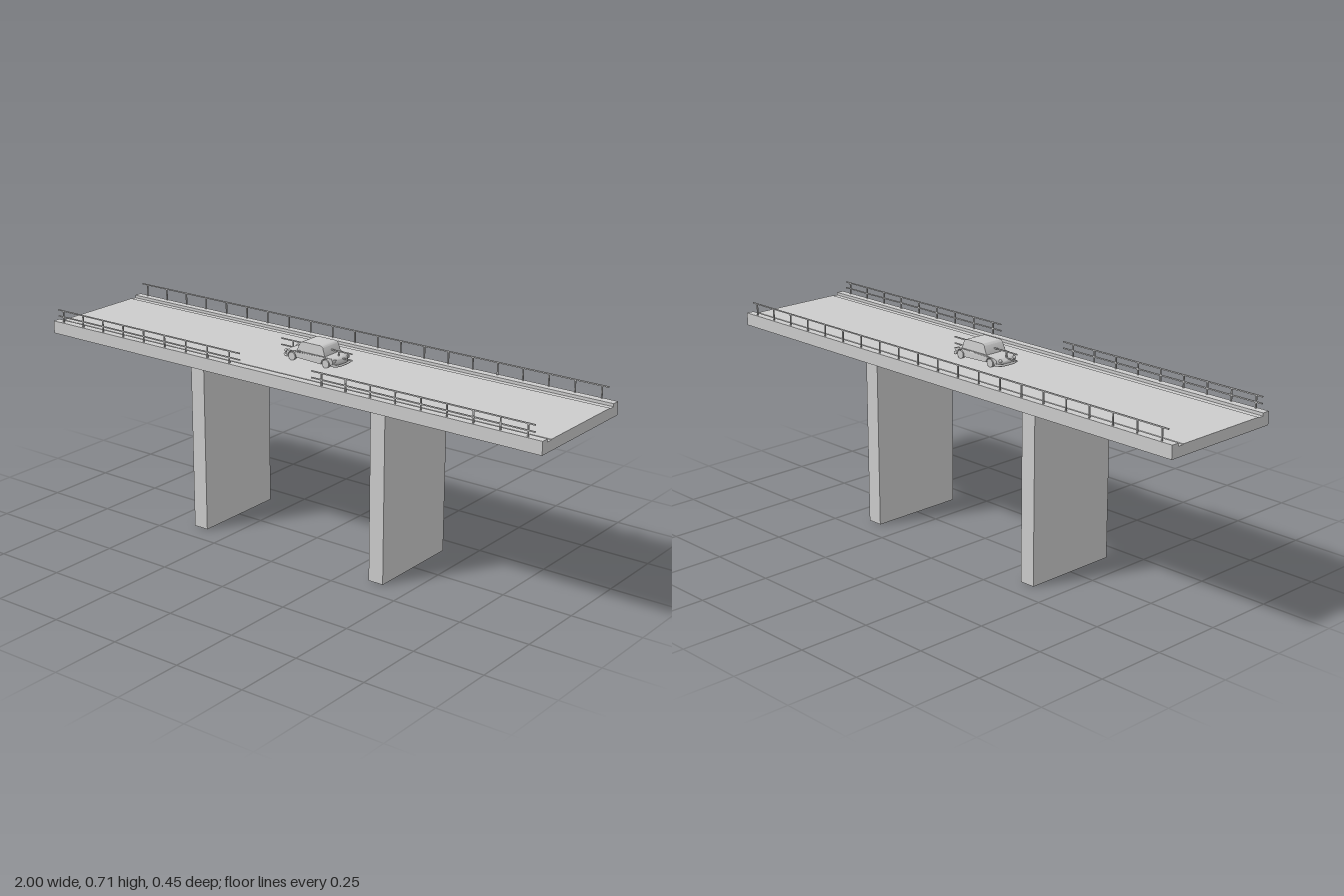
import * as THREE from 'three';
import { toCreasedNormals } from 'three/addons/utils/BufferGeometryUtils.js';

const concrete = new THREE.MeshStandardMaterial({ color: 0xcccccc });
concrete.name = 'light grey';

function add(parent, name, geometry, x = 0, y = 0, z = 0) {
  const mesh = new THREE.Mesh(geometry, concrete);
  mesh.name = name;
  mesh.position.set(x, y, z);
  parent.add(mesh);
  return mesh;
}

function box(parent, name, x0, x1, y0, y1, z0, z1) {
  return add(parent, name, new THREE.BoxGeometry(x1 - x0, y1 - y0, z1 - z0),
    (x0 + x1) / 2, (y0 + y1) / 2, (z0 + z1) / 2);
}

// One run of railing: horizontal rails and the posts that fall within it
function railing(parent, name, x0, x1, z, railHeights, base) {
  const group = new THREE.Group();
  group.name = name;
  for (const y of railHeights) box(group, 'rail', x0, x1, y - 0.004, y, z - 0.002, z + 0.002);
  for (let i = 0; i < 21; i++) {
    const x = -0.956 + i * 0.0951;
    if (x > x0 && x < x1) box(group, 'post', x - 0.002, x + 0.002, base, 0.688, z - 0.002, z + 0.002);
  }
  parent.add(group);
}

// Small car, bonnet towards -x
function createCar() {
  const car = new THREE.Group();
  car.name = 'car';

  // Lower body: side profile with wheel arches
  const side = new THREE.Shape();
  side.moveTo(-0.112, 0.009);
  side.lineTo(-0.088, 0.009);
  side.absarc(-0.07, 0.013, 0.018, Math.PI, 0, true);
  side.lineTo(0.052, 0.009);
  side.absarc(0.07, 0.013, 0.018, Math.PI, 0, true);
  side.lineTo(0.108, 0.009);
  side.quadraticCurveTo(0.116, 0.028, 0.098, 0.034);
  side.lineTo(0.06, 0.037);
  side.lineTo(-0.04, 0.037);
  side.lineTo(-0.09, 0.032);
  side.quadraticCurveTo(-0.12, 0.028, -0.112, 0.009);
  const body = new THREE.ExtrudeGeometry(side, { depth: 0.092, bevelEnabled: false, curveSegments: 8, steps: 8 });
  body.translate(0, 0, -0.046);
  // Round the nose and tail in plan
  const p = body.attributes.position;
  for (let i = 0; i < p.count; i++) {
    const x = p.getX(i), t = Math.max(0, (Math.abs(x) - 0.085) / 0.035);
    p.setX(i, x - Math.sign(x) * t * 0.02 * (p.getZ(i) / 0.046) ** 2);
    p.setZ(i, p.getZ(i) * (1 - 0.12 * t));
  }
  add(car, 'body', toCreasedNormals(body, 0.6));

  // Cabin narrowing towards the roof
  const cab = new THREE.Shape();
  cab.moveTo(-0.052, 0.034);
  cab.lineTo(0.066, 0.034);
  cab.lineTo(0.056, 0.064);
  cab.quadraticCurveTo(0.052, 0.069, 0.043, 0.07);
  cab.lineTo(-0.028, 0.07);
  cab.quadraticCurveTo(-0.036, 0.069, -0.039, 0.064);
  cab.closePath();
  const cabin = new THREE.ExtrudeGeometry(cab, { depth: 0.088, bevelEnabled: false, curveSegments: 5 });
  cabin.translate(0, 0, -0.044);
  const q = cabin.attributes.position;
  for (let i = 0; i < q.count; i++) q.setZ(i, q.getZ(i) * (1 - (q.getY(i) - 0.034) * 1.8));
  add(car, 'cabin', toCreasedNormals(cabin, 0.6));

  for (const s of [1, -1]) {
    // Side windows lie against the sloping cabin wall
    for (const [x0, x1] of [[-0.036, 0.002], [0.008, 0.05]]) {
      const pane = box(car, 'sideWindow', x0, x1, 0.04, 0.062, s * 0.0415 - 0.001, s * 0.0415 + 0.001);
      pane.rotation.x = -s * 0.08;
    }
    // Wheels and headlights
    for (const x of [-0.07, 0.07]) {
      const wheel = new THREE.CylinderGeometry(0.014, 0.014, 0.012, 20);
      wheel.rotateX(Math.PI / 2);
      add(car, 'wheel', wheel, x, 0.014, s * 0.041);
    }
    const lamp = new THREE.SphereGeometry(0.006, 12, 8);
    add(car, 'headlight', lamp, -0.105, 0.025, s * 0.032);
    box(car, 'tailLight', 0.097, 0.104, 0.022, 0.03, s * 0.036 - 0.004, s * 0.036 + 0.004);
  }

  // Curved bumpers at both ends
  for (const s of [1, -1]) {
    const curve = new THREE.CatmullRomCurve3([
      new THREE.Vector3(s * 0.09, 0.011, -0.044), new THREE.Vector3(s * 0.109, 0.011, -0.034),
      new THREE.Vector3(s * 0.114, 0.011, 0), new THREE.Vector3(s * 0.109, 0.011, 0.034),
      new THREE.Vector3(s * 0.09, 0.011, 0.044)]);
    add(car, 'bumper', new THREE.TubeGeometry(curve, 20, 0.004, 8));
  }

  // Driver's mirror
  box(car, 'mirrorArm', -0.037, -0.034, 0.034, 0.037, 0.038, 0.05);
  box(car, 'mirror', -0.039, -0.034, 0.034, 0.04, 0.045, 0.053);

  car.position.y = 0.637;
  return car;
}

export function createModel() {
  const model = new THREE.Group();
  model.name = 'roadBridge';

  // Deck cross-section with raised kerbs and roadway, swept along x
  const half = [[0.174, 0.637], [0.175, 0.635], [0.196, 0.635], [0.196, 0.645], [0.224, 0.645], [0.224, 0.6]];
  const points = [...half, ...half.map(([z, y]) => [-z, y]).reverse()];
  const section = new THREE.Shape(points.map(([z, y]) => new THREE.Vector2(z, y)));
  const deck = new THREE.ExtrudeGeometry(section, { depth: 2, bevelEnabled: false });
  deck.translate(0, 0, -1);
  deck.rotateY(Math.PI / 2);
  add(model, 'deck', deck);

  // Wall piers
  for (const x of [-0.374, 0.374]) box(model, 'pier', x - 0.028, x + 0.028, 0, 0.6, -0.174, 0.174);

  // Railings: back run, two front runs, and a short run in the middle of the road
  railing(model, 'backRailing', -0.98, 0.97, -0.217, [0.689], 0.645);
  railing(model, 'frontRailing', -0.98, -0.15, 0.217, [0.689, 0.667], 0.645);
  railing(model, 'frontRailing', 0.145, 0.97, 0.217, [0.689, 0.667], 0.645);
  railing(model, 'middleRailing', -0.15, 0.145, 0, [0.689, 0.667], 0.665);

  model.add(createCar());
  return model;
}
